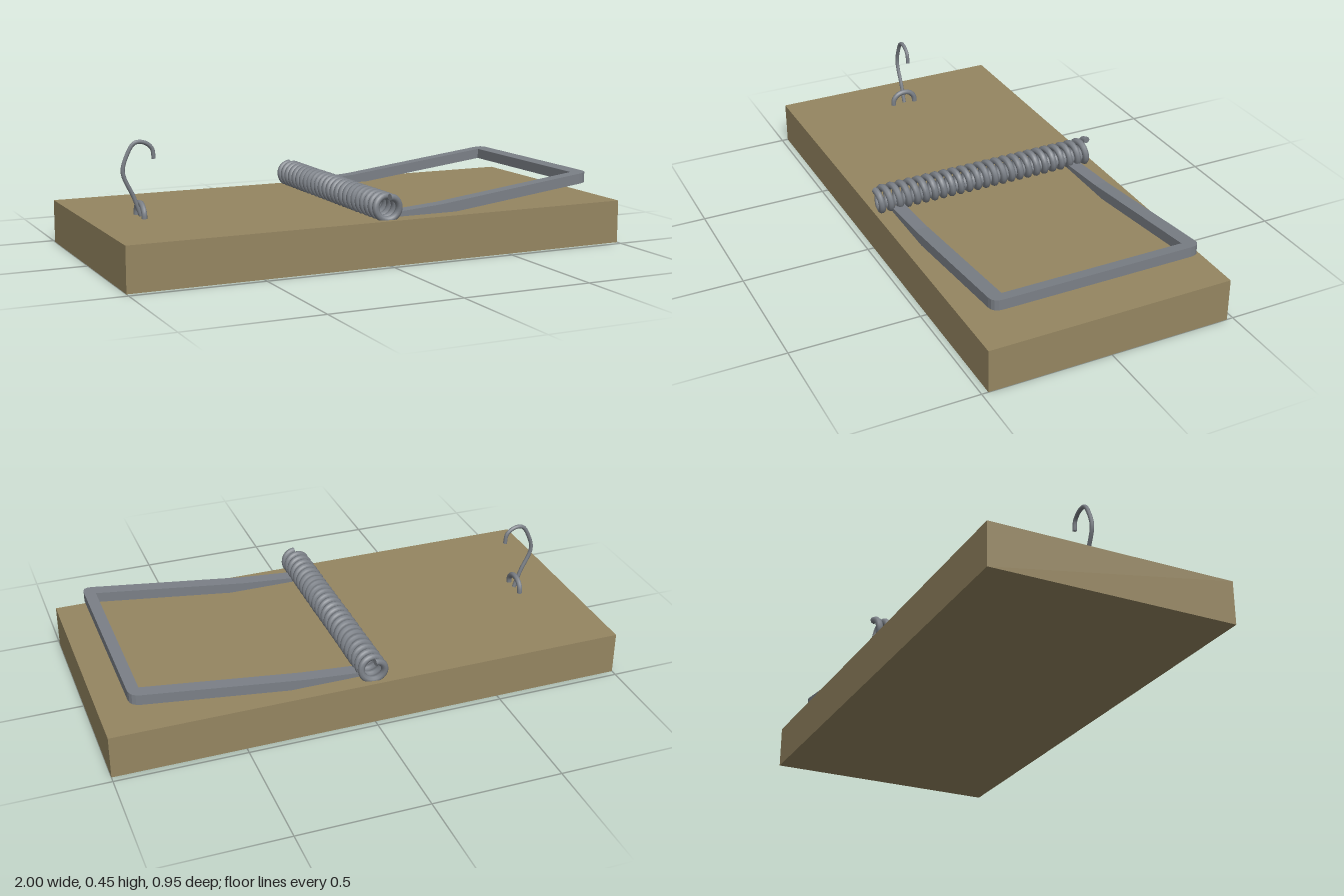
import * as THREE from 'three';

const BOARD_TOP = 0.167;
const BEND_X = 0.25;

// A round wire along a curve, closed by a disc at each end.
function wire(name, curve, radius, segments, sides, material) {
  const group = new THREE.Group();
  group.name = name;
  group.add(new THREE.Mesh(new THREE.TubeGeometry(curve, segments, radius, sides), material));
  for (const [t, sign] of [[0, -1], [1, 1]]) {
    const cap = new THREE.Mesh(new THREE.CircleGeometry(radius, sides), material);
    const end = curve.getPointAt(t);
    cap.position.copy(end);
    cap.lookAt(end.clone().addScaledVector(curve.getTangentAt(t), sign));
    group.add(cap);
  }
  group.children.forEach((m) => { m.name = name + 'Part'; });
  return group;
}

class Helix extends THREE.Curve {
  constructor(radius, turns, z0, z1) {
    super();
    Object.assign(this, { radius, turns, z0, z1 });
    this.arcLengthDivisions = 1000;
  }
  getPoint(t, target = new THREE.Vector3()) {
    const a = Math.PI / 2 + t * this.turns * Math.PI * 2;
    return target.set(
      this.radius * Math.cos(a), this.radius * Math.sin(a),
      THREE.MathUtils.lerp(this.z0, this.z1, t));
  }
}

// Raises a flat bar piece along x so that it slopes up from the spring.
function slope(geometry, x0, y0, x1, y1) {
  const p = geometry.attributes.position;
  for (let i = 0; i < p.count; i++) {
    p.setY(i, p.getY(i) + y0 + (p.getX(i) - x0) / (x1 - x0) * (y1 - y0));
  }
  geometry.computeVertexNormals();
  return geometry;
}

export function createModel() {
  const model = new THREE.Group();
  model.name = 'springTrap';
  const wood = new THREE.MeshStandardMaterial({ color: 0x958661 });
  wood.name = 'wood';
  const metal = new THREE.MeshStandardMaterial({ color: 0x7b8087 });
  metal.name = 'metal';

  // Wooden base
  const board = new THREE.Mesh(new THREE.BoxGeometry(2, BOARD_TOP, 0.95), wood);
  board.name = 'board';
  board.position.y = BOARD_TOP / 2;
  model.add(board);

  // Coil spring across the middle
  const spring = wire('spring', new Helix(0.043, 25, -0.46, 0.46), 0.0135, 600, 8, metal);
  spring.position.y = 0.21;
  model.add(spring);

  // Striking bar: a U with rounded outer corners, then two legs into the spring
  const bar = new THREE.Group();
  bar.name = 'strikingBar';
  const o = 0.408, n = 0.355, xo = 0.9, xi = 0.855, r = 0.04;
  const u = new THREE.Shape();
  u.moveTo(BEND_X, -o);
  u.lineTo(xo - r, -o);
  u.quadraticCurveTo(xo, -o, xo, -o + r);
  u.lineTo(xo, o - r);
  u.quadraticCurveTo(xo, o, xo - r, o);
  u.lineTo(BEND_X, o);
  u.lineTo(BEND_X, n);
  u.lineTo(xi, n);
  u.lineTo(xi, -n);
  u.lineTo(BEND_X, -n);
  u.closePath();
  const uGeo = new THREE.ExtrudeGeometry(u, { depth: 0.04, bevelEnabled: false, curveSegments: 4 });
  uGeo.rotateX(-Math.PI / 2);
  const loop = new THREE.Mesh(slope(uGeo, BEND_X, 0.16, xo, 0.238), metal);
  loop.name = 'barLoop';
  bar.add(loop);
  for (const side of [-1, 1]) {
    const legGeo = new THREE.BoxGeometry(BEND_X - 0.03, 0.04, o - n);
    legGeo.translate((BEND_X + 0.03) / 2, 0.02, side * (o + n) / 2);
    const leg = new THREE.Mesh(slope(legGeo, 0.03, 0.143, BEND_X, 0.16), metal);
    leg.name = side > 0 ? 'frontBarLeg' : 'backBarLeg';
    bar.add(leg);
  }
  model.add(bar);

  // Curved catch hook
  const hookPath = new THREE.CatmullRomCurve3([
    [-0.795, 0.17], [-0.82, 0.24], [-0.86, 0.335], [-0.845, 0.395],
    [-0.815, 0.441], [-0.78, 0.443], [-0.748, 0.42], [-0.741, 0.38],
  ].map(([x, y]) => new THREE.Vector3(x, y, 0)));
  model.add(wire('catchHook', hookPath, 0.008, 40, 8, metal));

  // Staple that holds the hook
  const staplePath = new THREE.CatmullRomCurve3([
    [0.15, -0.049], [0.19, -0.046], [0.212, -0.026], [0.218, 0],
    [0.212, 0.026], [0.19, 0.046], [0.15, 0.049],
  ].map(([y, z]) => new THREE.Vector3(-0.797, y, z)));
  model.add(wire('staple', staplePath, 0.011, 28, 8, metal));

  return model;
}
